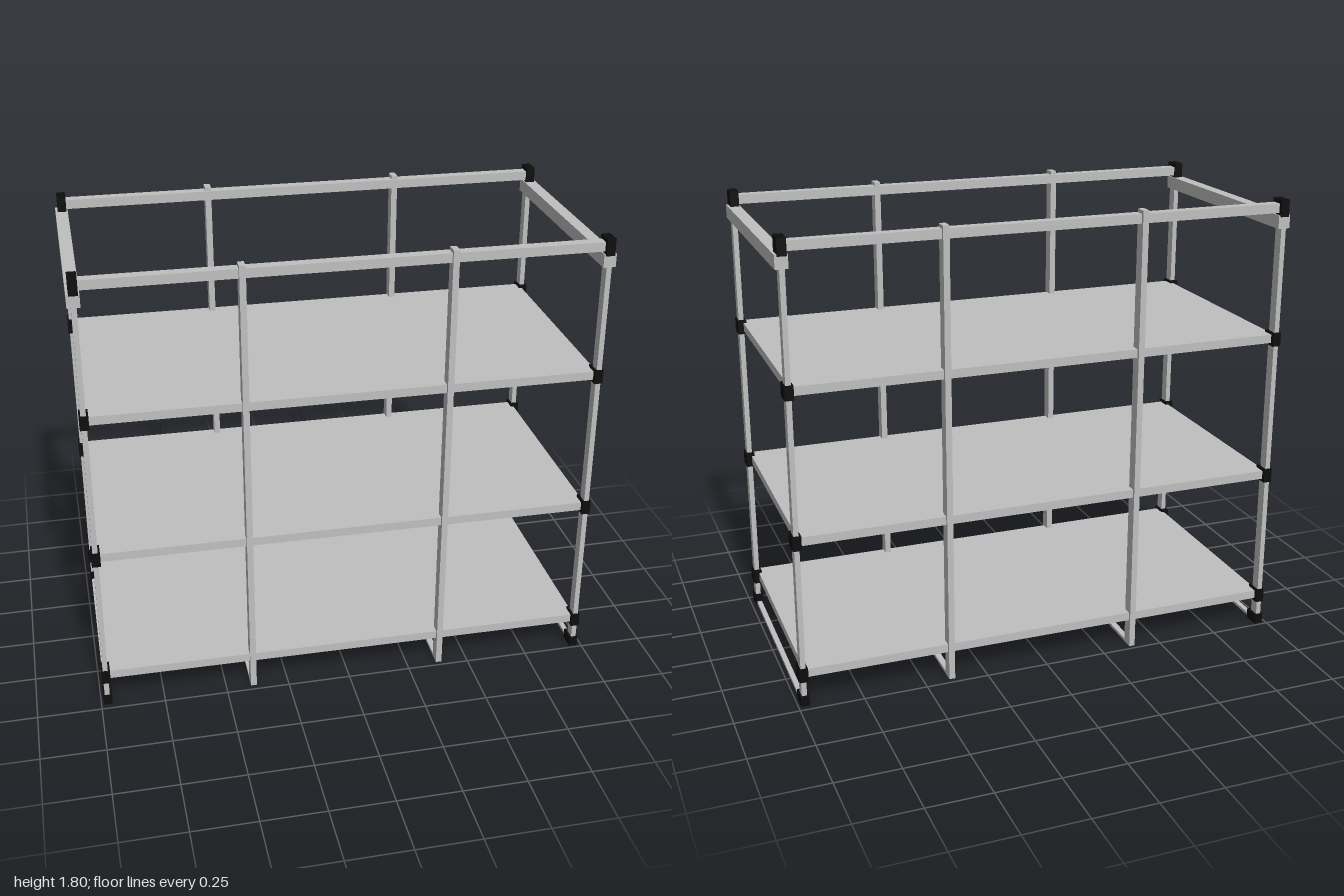
import * as THREE from 'three';

export function createModel() {
  const group = new THREE.Group();
  group.name = 'shelvingRack';
  const metal = new THREE.MeshStandardMaterial({ color: 0xc0c0c0 });
  metal.name = 'light grey metal';
  const plastic = new THREE.MeshStandardMaterial({ color: 0x0d0d0d });
  plastic.name = 'black plastic';

  // Box given by its minimum and maximum along each axis
  function bar(name, material, [x0, x1], [y0, y1], [z0, z1]) {
    const mesh = new THREE.Mesh(new THREE.BoxGeometry(x1 - x0, y1 - y0, z1 - z0), material);
    mesh.position.set((x0 + x1) / 2, (y0 + y1) / 2, (z0 + z1) / 2);
    mesh.name = name;
    group.add(mesh);
  }
  const mirror = ([a, b], s) => (s > 0 ? [a, b] : [-b, -a]);
  const sides = [-1, 1];

  // Three shelf boards
  const shelfLevels = [[0.113, 0.147], [0.652, 0.686], [1.228, 1.262]];
  for (const y of shelfLevels) bar('shelf', metal, [-0.965, 0.965], y, [-0.466, 0.466]);

  // Connector heights: foot, one per shelf, top corner
  const connectorLevels = [[0, 0.041], [0.1, 0.156], [0.64, 0.697], [1.216, 1.271], [1.731, 1.797]];

  for (const sz of sides) {
    // Long top rails
    bar('topLongRail', metal, [-0.96, 0.96], [1.745, 1.781], mirror([0.424, 0.466], sz));
    for (const sx of sides) {
      // Corner posts with their connectors
      bar('cornerPost', metal, mirror([0.961, 0.981], sx), [0.005, 1.79], mirror([0.433, 0.475], sz));
      for (const y of connectorLevels) {
        bar('connector', plastic, mirror([0.953, 0.987], sx), y, mirror([0.416, 0.481], sz));
      }
      // Intermediate uprights
      bar('middlePost', metal, mirror([0.374, 0.398], sx), [0, 1.795], mirror([0.43, 0.478], sz));
    }
  }

  for (const sx of sides) {
    // Deep top rails on the short sides
    bar('topSideRail', metal, mirror([0.948, 0.996], sx), [1.685, 1.737], [-0.475, 0.475]);
    // Thin floor bars joining front and back feet
    bar('outerFloorBar', metal, mirror([0.961, 0.981], sx), [0.002, 0.014], [-0.433, 0.433]);
    bar('middleFloorBar', metal, mirror([0.374, 0.398], sx), [0, 0.012], [-0.43, 0.43]);
  }

  // The rack stands very slightly turned
  group.rotation.y = -0.0078;
  return group;
}
